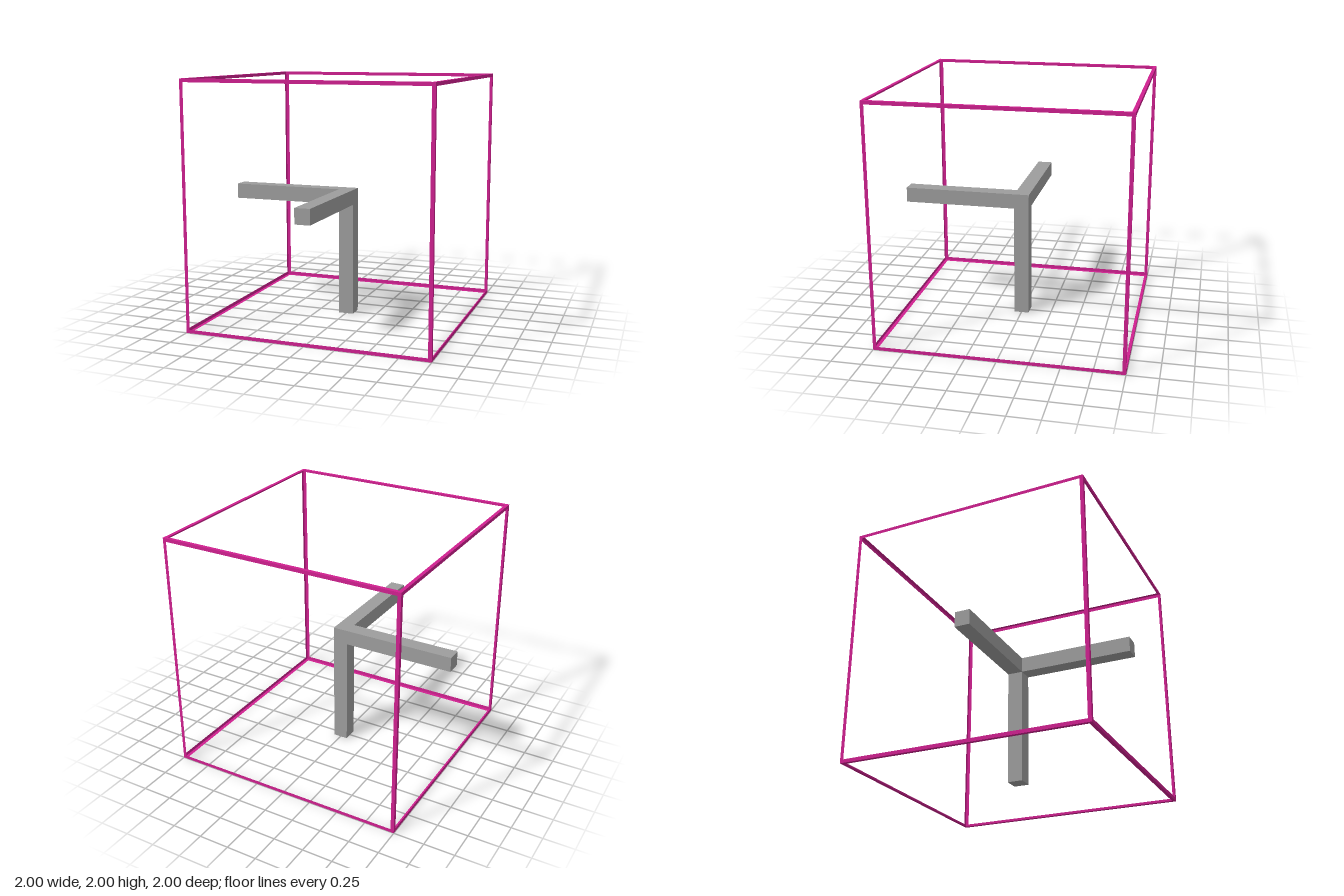
import * as THREE from 'three';

const HALF = 1;       // half the cube's side
const STRIP = 0.028;  // width of the edge strips
const ARM = 0.0625;   // half the thickness of an arm

function rectangle(Type, r) {
  const p = new Type();
  p.moveTo(-r, -r);
  p.lineTo(r, -r);
  p.lineTo(r, r);
  p.lineTo(-r, r);
  p.closePath();
  return p;
}

export function createModel() {
  const model = new THREE.Group();
  model.name = 'axisCube';
  const grey = new THREE.MeshStandardMaterial({ color: 0x9d9d9d, flatShading: true });
  const magenta = new THREE.MeshStandardMaterial({ color: 0xd02090, side: THREE.DoubleSide });

  // Open cube: a thin flat border on each of the six faces
  const border = rectangle(THREE.Shape, HALF);
  border.holes.push(rectangle(THREE.Path, HALF - STRIP));
  const borderGeometry = new THREE.ShapeGeometry(border);
  const cube = new THREE.Group();
  cube.name = 'cubeFrame';
  const faces = {
    front: [0, 0], right: [0, -Math.PI / 2], back: [0, Math.PI],
    left: [0, Math.PI / 2], top: [-Math.PI / 2, 0], bottom: [Math.PI / 2, 0],
  };
  for (const [name, [rx, ry]] of Object.entries(faces)) {
    const face = new THREE.Mesh(borderGeometry, magenta);
    face.name = name + 'Border';
    face.rotation.set(rx, ry, 0);
    face.position.set(0, 0, HALF).applyEuler(face.rotation);
    face.position.y += HALF;
    cube.add(face);
  }
  model.add(cube);

  // Two level arms as one elbow, towards -x and +z (shape y becomes -z)
  const elbow = new THREE.Shape([
    [-HALF, ARM], [-HALF, -ARM], [-ARM, -ARM], [-ARM, -HALF], [ARM, -HALF], [ARM, ARM],
  ].map(([x, y]) => new THREE.Vector2(x, y)));
  const elbowGeometry = new THREE.ExtrudeGeometry(elbow, { depth: 2 * ARM, bevelEnabled: false });
  elbowGeometry.rotateX(-Math.PI / 2);
  const arms = new THREE.Mesh(elbowGeometry, grey);
  arms.name = 'levelArms';
  arms.position.y = HALF - ARM;
  model.add(arms);

  // Upright arm from the elbow down to the floor
  const legHeight = HALF - ARM;
  const leg = new THREE.Mesh(new THREE.BoxGeometry(2 * ARM, legHeight, 2 * ARM), grey);
  leg.name = 'uprightArm';
  leg.position.y = legHeight / 2;
  model.add(leg);

  return model;
}
